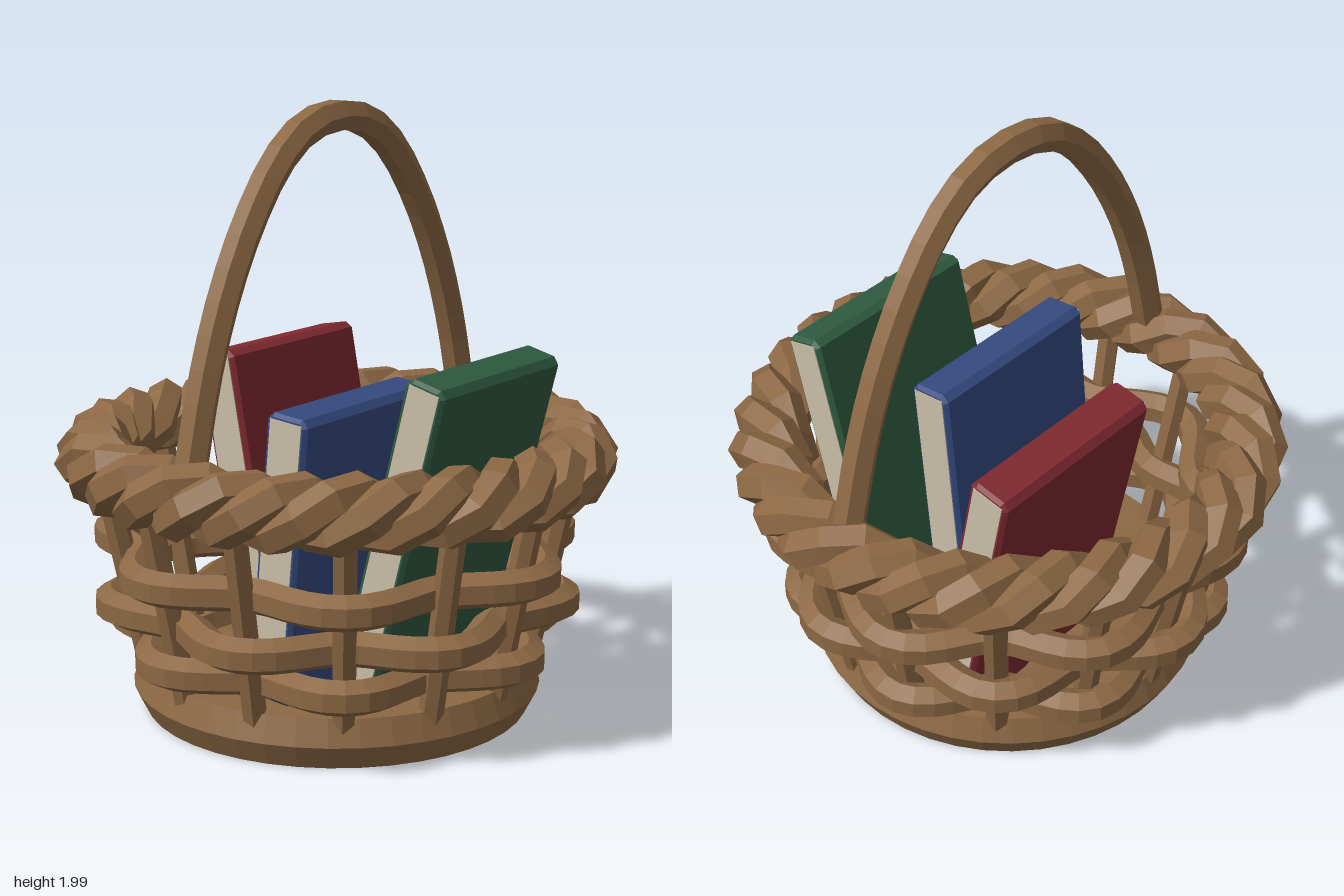
import * as THREE from 'three';

const mat = (name, color) => {
  const m = new THREE.MeshStandardMaterial({ color });
  m.name = name;
  m.flatShading = true;
  return m;
};

// closed curve around the y axis, from radius and height functions of the angle
class RingCurve extends THREE.Curve {
  constructor(radius, height) {
    super();
    this.radius = radius;
    this.height = height;
  }
  getPoint(t, target = new THREE.Vector3()) {
    const a = t * Math.PI * 2;
    const r = this.radius(a);
    return target.set(r * Math.cos(a), this.height(a), r * Math.sin(a));
  }
}

export function createModel() {
  const model = new THREE.Group();
  model.name = 'basketOfBooks';
  const wicker = mat('wicker brown', 0x8c6844);
  const paper = mat('paper cream', 0xc9bfa8);
  const red = mat('cover red', 0x802a30);
  const blue = mat('cover blue', 0x344a80);
  const green = mat('cover green', 0x2f5a40);

  const add = (name, geometry, material, parent = model) => {
    const mesh = new THREE.Mesh(geometry, material);
    mesh.name = name;
    parent.add(mesh);
    return mesh;
  };

  // base drum with a sunken floor
  const profile = [[0, 0], [0.64, 0], [0.68, 0.08], [0.65, 0.165], [0.58, 0.165], [0.56, 0.11], [0, 0.11]];
  add('base', new THREE.LatheGeometry(profile.map(p => new THREE.Vector2(...p)), 42), wicker);

  // coiled rings on the floor
  for (const r of [0.2, 0.37]) {
    const ring = add('floorRing', new THREE.TorusGeometry(r, 0.03, 5, 12), wicker);
    ring.rotation.x = Math.PI / 2;
    ring.position.y = 0.11;
  }

  // upright stakes leaning outward
  const stakes = 14;
  for (let i = 0; i < stakes; i++) {
    const a = (i / stakes) * Math.PI * 2;
    const at = (r, y) => new THREE.Vector3(r * Math.cos(a), y, r * Math.sin(a));
    const path = new THREE.LineCurve3(at(0.62, 0.1), at(0.78, 0.88));
    add('stake', new THREE.TubeGeometry(path, 1, 0.04, 6), wicker);
  }

  // weavers passing in and out of the stakes, alternating by row
  [[0.665, 0.26, 1], [0.695, 0.385, -1], [0.715, 0.545, 1]].forEach(([r, y, side]) => {
    const path = new RingCurve(a => r + side * 0.062 * Math.cos(a * stakes / 2), () => y);
    add('weaver', new THREE.TubeGeometry(path, 84, 0.058, 6, true), wicker);
  });

  // twisted rope rim
  const strands = 3, turns = 10;
  for (let s = 0; s < strands; s++) {
    const phase = (s / strands) * Math.PI * 2;
    const path = new RingCurve(
      a => 0.787 + 0.07 * Math.cos(turns * a + phase),
      a => 0.853 - 0.062 * Math.sin(turns * a + phase));
    add('rimStrand', new THREE.TubeGeometry(path, 60, 0.068, 6, true), wicker);
  }

  // arched handle
  const half = [[0.765, 0.82], [0.72, 1.0], [0.665, 1.2], [0.575, 1.43], [0.45, 1.65], [0.3, 1.83], [0.16, 1.92]];
  const arch = [
    ...half.map(([z, y]) => new THREE.Vector3(0, y, z)),
    new THREE.Vector3(0, 1.948, 0),
    ...half.slice().reverse().map(([z, y]) => new THREE.Vector3(0, y, -z)),
  ];
  add('handle', new THREE.TubeGeometry(new THREE.CatmullRomCurve3(arch), 28, 0.054, 6), wicker);

  // books standing spine up, pages showing at both ends
  const book = (name, cover, { x, y, z, tilt, width, height, depth }) => {
    const group = new THREE.Group();
    group.name = name;
    const w = width / 2, c = 0.022, b = 0.012;
    const outline = new THREE.Shape([
      [-w, -height], [w, -height], [w, -c], [w - c, 0], [-w + c, 0], [-w, -c],
    ].map(p => new THREE.Vector2(...p)));
    const shell = new THREE.ExtrudeGeometry(outline, {
      depth: depth - 2 * b, bevelEnabled: true, bevelSize: b, bevelOffset: -b, bevelThickness: b, bevelSegments: 1,
    });
    shell.translate(0, 0, -depth / 2 + b);
    add('cover', shell, cover, group);
    const pages = add('pages', new THREE.BoxGeometry(width - 0.035, height - 0.035, depth + 0.006), paper, group);
    pages.position.y = -height / 2;
    group.position.set(x, y, z);
    group.rotation.z = tilt;
    model.add(group);
  };
  book('redBook', red, { x: -0.407, y: 1.155, z: -0.205, tilt: 0.185, width: 0.15, height: 1.03, depth: 0.68 });
  book('blueBook', blue, { x: 0.15, y: 1.07, z: 0.12, tilt: -0.095, width: 0.155, height: 0.94, depth: 0.68 });
  book('greenBook', green, { x: 0.54, y: 1.187, z: -0.06, tilt: -0.25, width: 0.145, height: 1.07, depth: 0.68 });

  return model;
}
